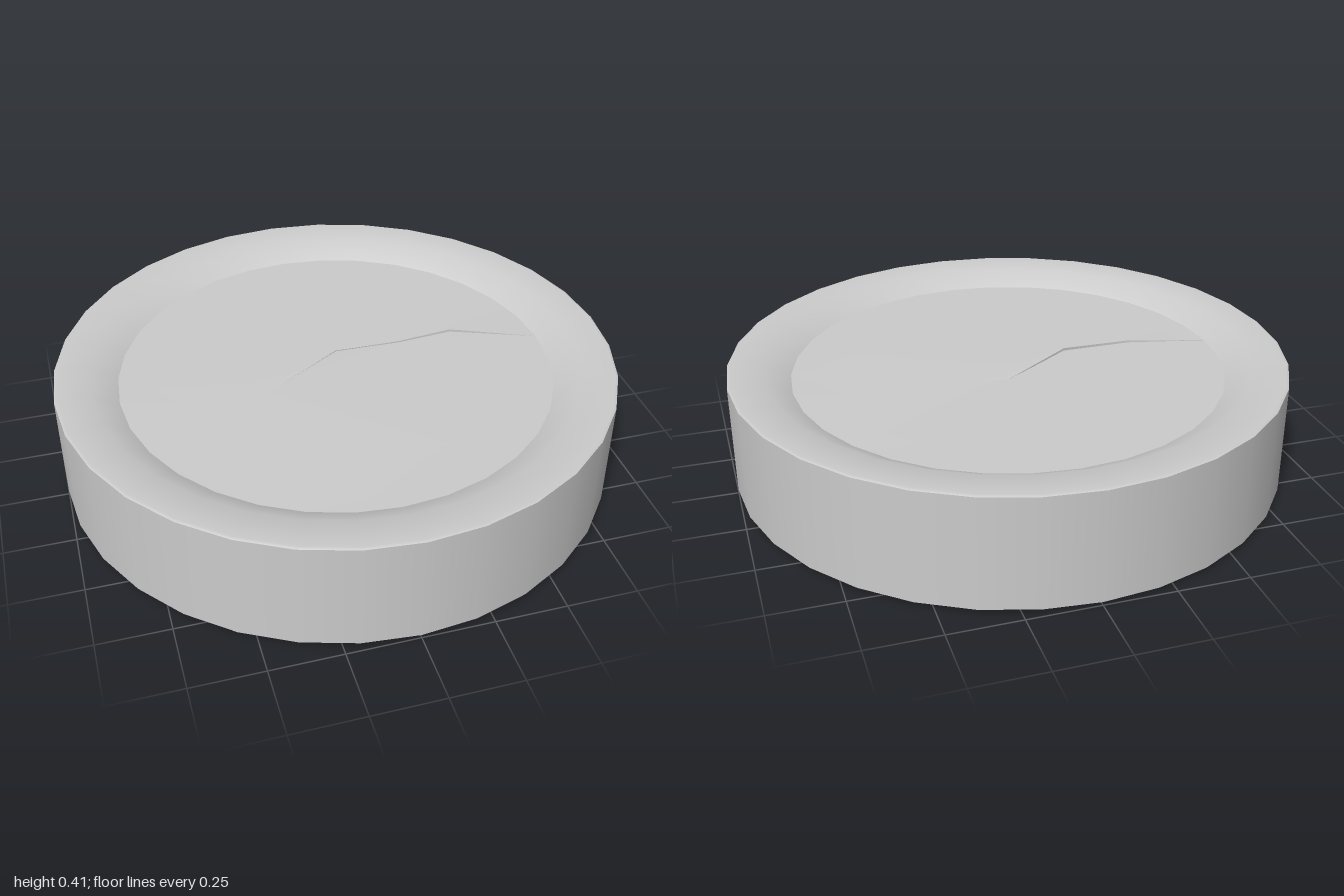
import * as THREE from 'three';

const SIDES = 32;
const material = new THREE.MeshStandardMaterial({ color: 0xcccccc, side: THREE.DoubleSide });

// Crack corners from right rim to left rim: x, z, height of front half, height of back half
const undersideCrack = [
  [0.57, 0.09, 0.009, 0.012], [0.35, -0.09, 0.008, 0.012], [0.05, 0.11, 0, 0.01],
  [-0.25, 0.01, 0.003, 0.01], [-0.6, 0.06, 0.007, 0.011], [-0.79, -0.07, 0.01, 0.012],
];
const floorCrack = [
  [0.48, -0.12, 0.36, 0.37], [0.27, -0.1, 0.362, 0.367], [0.03, -0.11, 0.36, 0.362],
  [-0.24, 0.07, 0.37, 0.36], [-0.5, 0.07, 0.368, 0.36],
];

function lathe(points) {
  return new THREE.LatheGeometry(points.map(([r, y]) => new THREE.Vector2(r, y)), SIDES);
}

// Half disc between the crack line and the rim; side is 1 for front, -1 for back
function halfDisc(radius, rimY, crack, side, up) {
  const flip = up ? -1 : 1;
  const outline = [];
  for (let i = 0; i <= SIDES / 2; i++) {
    const a = (i / SIDES) * Math.PI * 2;
    outline.push(new THREE.Vector2(radius * Math.cos(a), flip * side * radius * Math.sin(a)));
  }
  [...crack].reverse().forEach(([x, z]) => outline.push(new THREE.Vector2(x, flip * z)));
  const geometry = new THREE.ShapeGeometry(new THREE.Shape(outline));
  const p = geometry.attributes.position;
  for (let i = 0; i < p.count; i++) {
    const x = p.getX(i), z = flip * p.getY(i);
    const corner = crack.find((c) => Math.hypot(c[0] - x, c[1] - z) < 0.001);
    p.setXYZ(i, x, corner ? corner[side > 0 ? 2 : 3] : rimY, z);
  }
  geometry.computeVertexNormals();
  return geometry;
}

// Thin wall joining the two halves along the crack
function crackStep(radius, rimY, crack) {
  const line = [[radius, 0, rimY, rimY], ...crack, [-radius, 0, rimY, rimY]];
  const position = [], index = [];
  line.forEach(([x, z, front, back], i) => {
    position.push(x, front, z, x, back, z);
    if (i) index.push(2 * i - 2, 2 * i - 1, 2 * i, 2 * i, 2 * i - 1, 2 * i + 1);
  });
  const geometry = new THREE.BufferGeometry();
  geometry.setAttribute('position', new THREE.Float32BufferAttribute(position, 3));
  geometry.setIndex(index);
  geometry.computeVertexNormals();
  return geometry;
}

export function createModel() {
  const group = new THREE.Group();
  group.name = 'crackedDisc';
  const add = (name, geometry) => {
    const mesh = new THREE.Mesh(geometry, material);
    mesh.name = name;
    group.add(mesh);
  };

  // Outer wall and raised rim sloping down to the floor
  add('outerWall', lathe([[1, 0.012], [1, 0.41]]));
  add('raisedRim', lathe([[1, 0.41], [0.99, 0.415], [0.87, 0.41], [0.78, 0.362]]));

  // Sunken floor and underside, each split by a crack
  const faces = [
    ['floor', 0.78, 0.362, floorCrack, true],
    ['underside', 1, 0.012, undersideCrack, false],
  ];
  for (const [name, radius, rimY, crack, up] of faces) {
    add(name + 'Front', halfDisc(radius, rimY, crack, 1, up));
    add(name + 'Back', halfDisc(radius, rimY, crack, -1, up));
    add(name + 'Crack', crackStep(radius, rimY, crack));
  }
  return group;
}
